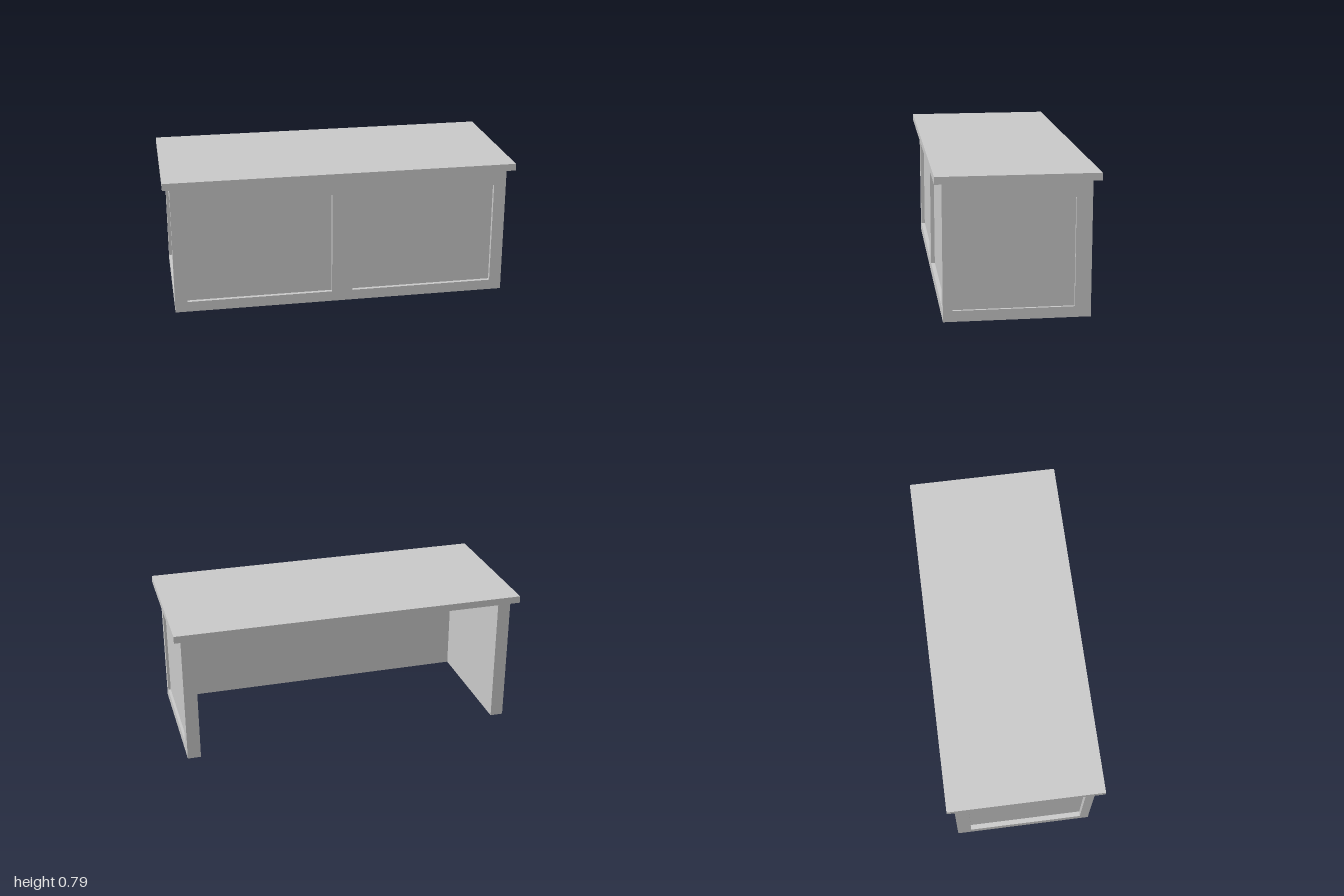
import * as THREE from 'three';

const material = new THREE.MeshStandardMaterial({ color: 0xcccccc, flatShading: true });

function box(name, x0, x1, y0, y1, z0, z1) {
  const geometry = new THREE.BoxGeometry(x1 - x0, y1 - y0, z1 - z0);
  geometry.translate((x0 + x1) / 2, (y0 + y1) / 2, (z0 + z1) / 2);
  const mesh = new THREE.Mesh(geometry, material);
  mesh.name = name;
  return mesh;
}

function tracePath(path, x0, x1, y0, y1) {
  path.moveTo(x0, y0);
  path.lineTo(x1, y0);
  path.lineTo(x1, y1);
  path.lineTo(x0, y1);
  path.closePath();
  return path;
}

// Wall with its outer face at z = 0 facing +z; openings are [x0, x1] recessed by depth
function panelledWall(name, x0, x1, thickness, depth, openings) {
  const wall = new THREE.Group();
  wall.name = name;
  const shape = tracePath(new THREE.Shape(), x0, x1, 0, 0.75);
  for (const [a, b] of openings) {
    shape.holes.push(tracePath(new THREE.Path(), a, b, 0.06, 0.655));
  }
  const geometry = new THREE.ExtrudeGeometry(shape, { depth, bevelEnabled: false });
  geometry.translate(0, 0, -depth);
  const frame = new THREE.Mesh(geometry, material);
  frame.name = name + 'Frame';
  wall.add(frame, box(name + 'Backing', x0, x1, 0, 0.75, -thickness, -depth));
  return wall;
}

export function createModel() {
  const desk = new THREE.Group();
  desk.name = 'desk';

  // Overhanging top
  desk.add(box('desktop', -1, 1, 0.75, 0.79, -0.435, 0.435));

  // Front with two recessed panels
  const front = panelledWall('front', -0.96, 0.96, 0.05, 0.022, [[-0.89, -0.055], [0.065, 0.89]]);
  front.position.z = 0.395;
  desk.add(front);

  // Sides, each with one recessed panel; the back stays open
  const left = panelledWall('leftSide', -0.345, 0.395, 0.075, 0.015, [[-0.343, 0.308]]);
  left.rotation.y = Math.PI / 2;
  left.position.x = 0.96;
  const right = panelledWall('rightSide', -0.395, 0.345, 0.075, 0.028, [[-0.315, 0.343]]);
  right.rotation.y = -Math.PI / 2;
  right.position.x = -0.96;
  desk.add(left, right);

  return desk;
}
